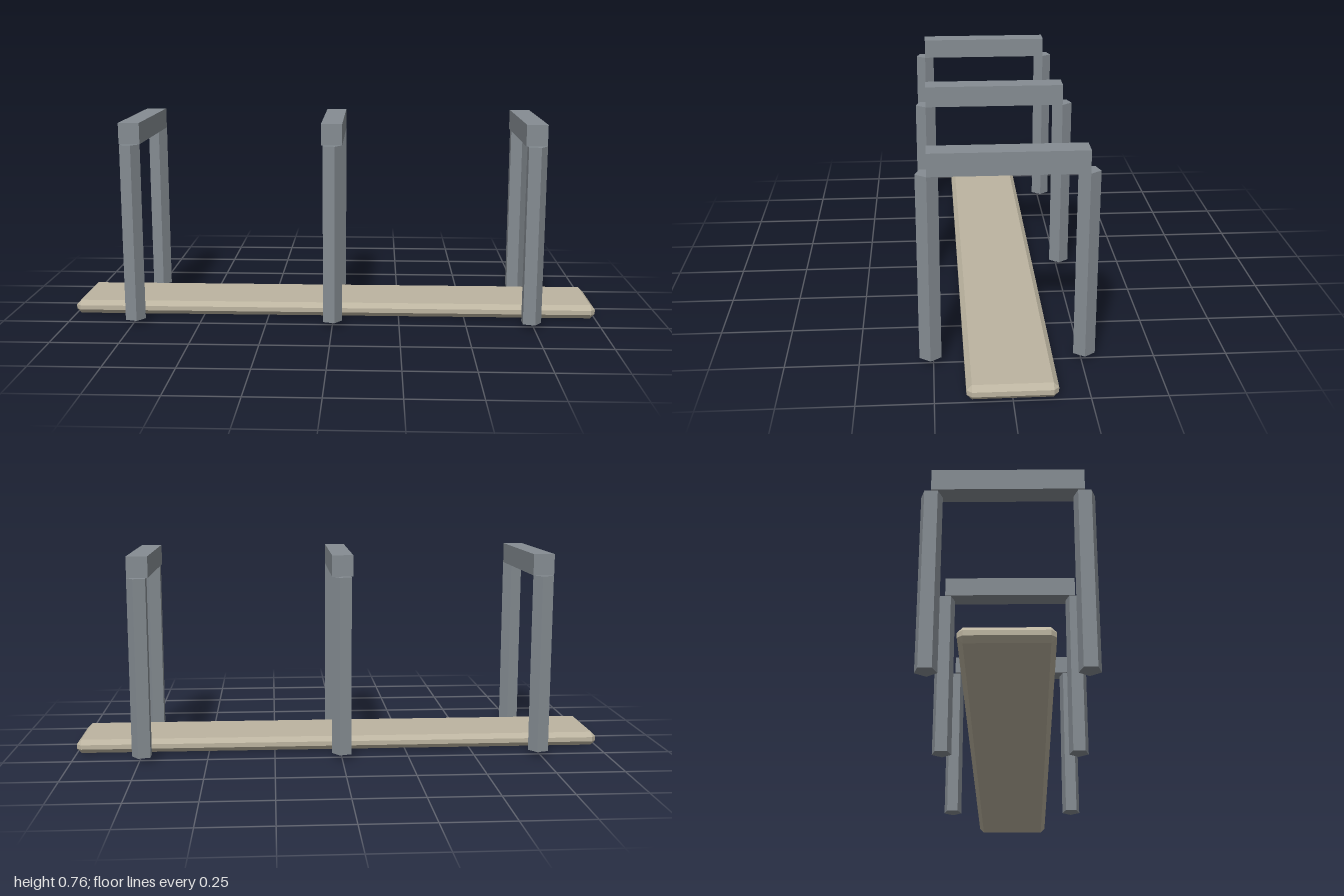
import * as THREE from 'three';
import { ConvexGeometry } from 'three/addons/geometries/ConvexGeometry.js';

const steel = new THREE.MeshStandardMaterial({ color: 0x858c92, flatShading: true });
const stone = new THREE.MeshStandardMaterial({ color: 0xbcb4a0, flatShading: true });

// Box with every edge and corner chamfered by c
function chamferedBox(w, h, d, c) {
  const points = [];
  for (const sx of [-1, 1]) for (const sy of [-1, 1]) for (const sz of [-1, 1]) {
    const [x, y, z] = [w / 2, h / 2, d / 2];
    points.push(
      new THREE.Vector3(sx * x, sy * (y - c), sz * (z - c)),
      new THREE.Vector3(sx * (x - c), sy * y, sz * (z - c)),
      new THREE.Vector3(sx * (x - c), sy * (y - c), sz * z)
    );
  }
  return new ConvexGeometry(points);
}

function addMesh(parent, name, geometry, material, x, y, z) {
  const mesh = new THREE.Mesh(geometry, material);
  mesh.name = name;
  mesh.position.set(x, y, z);
  parent.add(mesh);
  return mesh;
}

export function createModel() {
  const model = new THREE.Group();
  model.name = 'bikeRack';

  // Ground slab running through the hoops
  addMesh(model, 'baseSlab', chamferedBox(2, 0.052, 0.296, 0.0175), stone, 0, 0.026, 0);

  // Three hoops: two five-sided posts joined by a square crossbar
  const postGeometry = new THREE.CylinderGeometry(0.039, 0.039, 0.66, 5);
  postGeometry.rotateY(Math.PI / 2); // one corner towards +x
  const barGeometry = new THREE.BoxGeometry(0.077, 0.078, 0.52);
  for (const i of [-1, 0, 1]) {
    const hoop = new THREE.Group();
    hoop.name = 'hoop';
    hoop.position.x = i * 0.74 - 0.002;
    addMesh(hoop, 'frontPost', postGeometry, steel, 0, 0.35, 0.26);
    addMesh(hoop, 'backPost', postGeometry, steel, 0, 0.35, -0.26);
    addMesh(hoop, 'crossbar', barGeometry, steel, 0, 0.719, 0);
    model.add(hoop);
  }
  return model;
}
